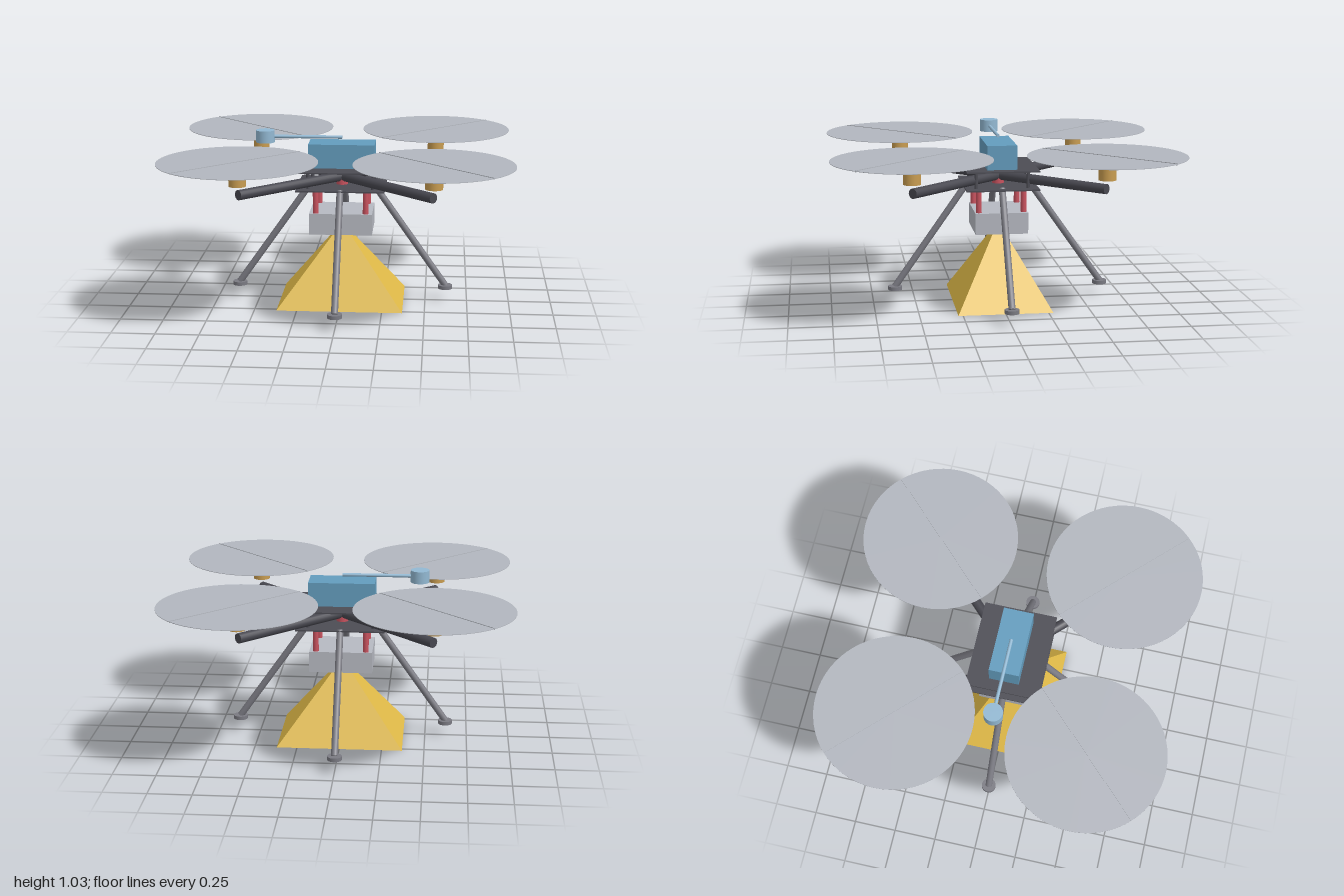
import * as THREE from 'three';

const mat = (name, color) => {
  const m = new THREE.MeshStandardMaterial({ color });
  m.name = name;
  return m;
};

export function createModel() {
  const root = new THREE.Group();
  root.name = 'surveyDrone';
  const M = {
    carbon: mat('dark carbon', 0x4c4c54),
    arm: mat('arm charcoal', 0x484850),
    leg: mat('leg grey', 0x7a7a82),
    motor: mat('motor brass', 0xc89c50),
    rotor: mat('rotor grey', 0xb2b6be),
    blue: mat('battery blue', 0x639cbd),
    pale: mat('antenna pale blue', 0x92b8d2),
    red: mat('damper red', 0xc8525e),
    camera: mat('camera grey', 0xb6b9c1),
    scan: mat('scan yellow', 0xe0ba48),
  };

  const add = (name, geo, material, x = 0, y = 0, z = 0) => {
    const mesh = new THREE.Mesh(geo, material);
    mesh.name = name;
    mesh.position.set(x, y, z);
    root.add(mesh);
    return mesh;
  };
  const box = (name, m, w, h, d, x, y, z) => add(name, new THREE.BoxGeometry(w, h, d), m, x, y, z);
  const cyl = (name, m, r, h, x, y, z, n = 24) => add(name, new THREE.CylinderGeometry(r, r, h, n), m, x, y, z);
  // Round rod between two points
  const rod = (name, m, r, a, b) => {
    const from = new THREE.Vector3(...a), to = new THREE.Vector3(...b);
    const dir = to.clone().sub(from);
    const mid = from.clone().add(to).multiplyScalar(0.5);
    const mesh = cyl(name, m, r, dir.length(), mid.x, mid.y, mid.z, 16);
    mesh.quaternion.setFromUnitVectors(new THREE.Vector3(0, 1, 0), dir.normalize());
    return mesh;
  };

  // Frame plates and battery
  box('topPlate', M.carbon, 0.52, 0.008, 0.428, 0, 0.814, 0);
  box('bottomPlate', M.carbon, 0.52, 0.008, 0.428, 0, 0.706, 0);
  box('battery', M.blue, 0.39, 0.142, 0.175, 0, 0.889, 0);

  // Antenna on its boom
  rod('antennaBoom', M.pale, 0.01, [0, 0.99, 0], [-0.455, 0.99, 0]);
  cyl('antenna', M.pale, 0.055, 0.072, -0.455, 0.991, 0, 32);

  // Four diagonal arms with motors and rotors, plus plate spacers and dampers
  for (const sx of [-1, 1]) for (const sz of [-1, 1]) {
    const x = 0.548 * sx, z = 0.548 * sz;
    rod('arm', M.arm, 0.029, [0, 0.757, 0], [0.545 * sx, 0.757, 0.545 * sz]);
    cyl('motor', M.motor, 0.05, 0.12, x, 0.87, z);
    cyl('rotorDisc', M.rotor, 0.452, 0.003, x, 0.945, z, 64);
    const blade = box('rotorBlade', M.rotor, 0.9, 0.01, 0.004, x, 0.945, z);
    blade.rotation.y = -Math.PI / 4 * sx * sz;
    cyl('spacer', M.carbon, 0.01, 0.11, 0.19 * sx, 0.76, 0.152 * sz, 12);
    cyl('damper', M.red, 0.017, 0.15, 0.147 * sx, 0.632, 0.132 * sz, 16);
  }
  cyl('centreMount', M.red, 0.035, 0.04, 0, 0.727, 0);

  // Splayed legs with round feet
  for (const [dx, dz] of [[1, 0], [-1, 0], [0, 1], [0, -1]]) {
    rod('leg', M.leg, 0.02, [0.19 * dx, 0.706, 0.19 * dz], [0.62 * dx, 0.095, 0.62 * dz]);
    cyl('foot', M.leg, 0.042, 0.022, 0.62 * dx, 0.086, 0.62 * dz);
  }

  // Camera housing and its pyramid of view
  box('cameraHousing', M.camera, 0.37, 0.125, 0.31, 0, 0.497, 0);
  const pyramid = new THREE.ConeGeometry(Math.SQRT1_2, 0.475, 4).toNonIndexed();
  pyramid.rotateY(Math.PI / 4);
  pyramid.scale(0.74, 1, 0.555);
  pyramid.computeVertexNormals();
  add('viewPyramid', pyramid, M.scan, 0, 0.2375, 0);

  return root;
}
